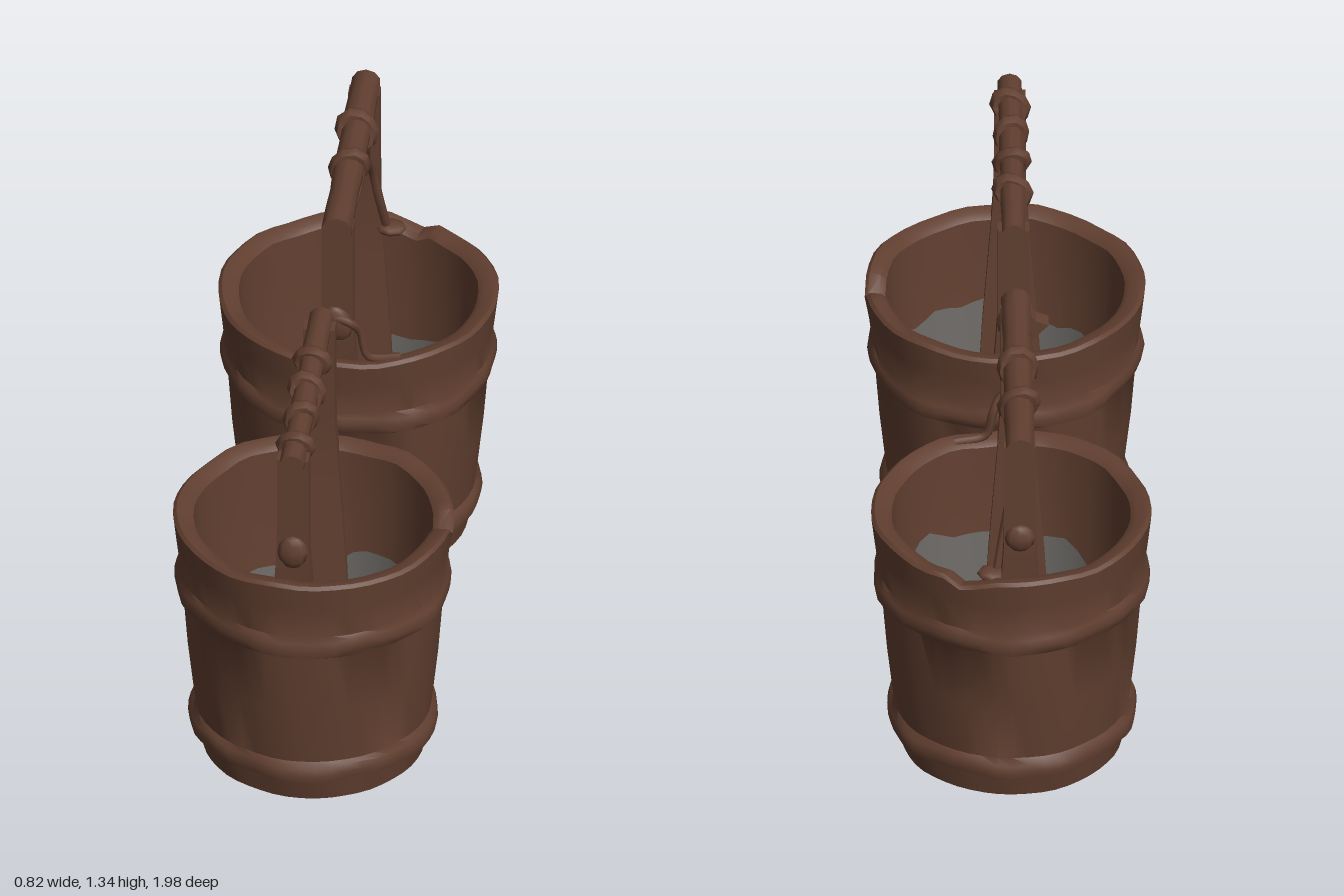
import * as THREE from 'three';
import { toCreasedNormals } from 'three/addons/utils/BufferGeometryUtils.js';

const wood = new THREE.MeshStandardMaterial({ color: 0x613f30 });
wood.name = 'brown wood';
const lining = new THREE.MeshStandardMaterial({ color: 0x6b6864, side: THREE.DoubleSide });
lining.name = 'grey lining';

const HANDLE_X = -0.02;

function add(parent, name, geometry, material = wood) {
  const mesh = new THREE.Mesh(geometry, material);
  mesh.name = name;
  parent.add(mesh);
  return mesh;
}

// Move every vertex of a geometry by a rule, then keep only the sharp edges
function deform(geometry, rule, crease = 0.7) {
  const p = geometry.attributes.position, v = new THREE.Vector3();
  for (let i = 0; i < p.count; i++) {
    v.fromBufferAttribute(p, i);
    rule(v);
    p.setXYZ(i, v.x, v.y, v.z);
  }
  return toCreasedNormals(geometry, crease);
}

const lathe = (profile, segments) =>
  new THREE.LatheGeometry(profile.map(([r, y]) => new THREE.Vector2(r, y)), segments);

// Hand-hewn waviness, periodic around the bucket
const wave = (a, s) => 0.5 * Math.sin(5 * a + s) + 0.3 * Math.sin(9 * a + 2 * s) + 0.2 * Math.sin(14 * a - s);

// Closed shell: underside, hooped outside, rim, inside wall and floor
function bucketShell(seed, notchAngle) {
  const profile = [
    [0, 0.012], [0.285, 0.01], [0.322, 0.035], [0.335, 0.1], [0.357, 0.115], [0.363, 0.14], [0.357, 0.162],
    [0.344, 0.178], [0.365, 0.37], [0.38, 0.565], [0.397, 0.58], [0.402, 0.605], [0.397, 0.628],
    [0.388, 0.645], [0.399, 0.74], [0.408, 0.82], [0.398, 0.829], [0.365, 0.825], [0.348, 0.81], [0.342, 0.7],
    [0.33, 0.55], [0.275, 0.12], [0, 0.12],
  ];
  return deform(lathe(profile, 48), v => {
    const r = Math.hypot(v.x, v.z);
    if (r < 0.1) return;
    const a = Math.atan2(v.x, v.z), y = v.y;
    const hoop = (y > 0.1 && y < 0.17) || (y > 0.57 && y < 0.64);
    const k = 1 + wave(a, seed + y * 2) * (hoop ? 0.02 : 0.009) / (r + 0.6);
    v.x *= k;
    v.z *= k;
    if (hoop) v.y += 0.009 * wave(a, seed + 4);
    if (y > 0.8) {
      v.y += 0.007 * wave(a, seed + 1);
      const d = Math.abs(Math.atan2(Math.sin(a - notchAngle), Math.cos(a - notchAngle)));
      if (d < 0.1) v.y -= 0.04 * (1 - d / 0.13);
    }
  });
}

// Grey band covering the lower inside wall, with a ragged upper edge
function bucketLining(seed) {
  return deform(lathe([[0.327, 0.55], [0.299, 0.33], [0.272, 0.122]], 48), v => {
    if (v.y < 0.5) return;
    const a = Math.atan2(v.x, v.z);
    const drop = 0.06 - 0.06 * Math.cos(a - 0.9) - 0.03 * wave(a, seed);
    const k = (0.327 - drop * 0.128) / 0.327;
    v.set(v.x * k, v.y - drop, v.z * k);
  });
}

// Plank that stands inside the wall and widens below the rim; side is +1 front, -1 back
function post(top, side, offset) {
  const g = new THREE.BoxGeometry(1, 1, 0.05, 1, 10, 1);
  return deform(g, v => {
    const y = 0.13 + (v.y + 0.5) * (top - 0.13);
    const below = Math.max(0, 0.82 - y);
    const width = 0.092 + Math.min(0.07, below * 0.16) + (y > 0.82 ? Math.max(0, 0.95 - y) * 0.12 : 0.016);
    v.set(HANDLE_X + v.x * width, y, v.z + side * (offset - below * 0.095));
  }, 0.5);
}

// Slightly crooked round bar along z
function bar(y, radius, z0, z1) {
  const g = new THREE.CylinderGeometry(radius, radius, z1 - z0, 10, 8);
  g.rotateX(Math.PI / 2);
  return deform(g, v => {
    const k = 1 + 0.05 * Math.sin(v.z * 23);
    v.set(HANDLE_X + v.x * k, y + v.y * k, v.z + (z0 + z1) / 2);
  });
}

// Lumpy binding wrapped round the bar
function binding(y, z, radius, seed) {
  return deform(new THREE.TorusGeometry(radius, 0.02, 6, 10), v => {
    const a = Math.atan2(v.y, v.x), k = 1 + 0.08 * Math.sin(2 * a + seed);
    v.set(HANDLE_X + v.x * k, y + v.y * k, z + v.z * 1.25 + 0.012 * Math.sin(a + seed));
  }, 0.9);
}

function rope(points, radius = 0.011) {
  const curve = new THREE.CatmullRomCurve3(points.map(p => new THREE.Vector3(...p)));
  return new THREE.TubeGeometry(curve, 20, radius, 6);
}

function knot(parent, name, x, y, z, sx, sy, sz, tilt = 0) {
  const mesh = add(parent, name, toCreasedNormals(new THREE.SphereGeometry(1, 8, 6), 0.9));
  mesh.position.set(x, y, z);
  mesh.scale.set(sx, sy, sz);
  mesh.rotation.z = tilt;
}

// All z values here are relative to the bucket's own centre
function bucket({ name, z, seed, notch, barY, barRadius, barEnds, postOffsets, bindings }) {
  const g = new THREE.Group();
  g.name = name;
  g.position.z = z;
  add(g, 'bucketShell', bucketShell(seed, notch));
  add(g, 'innerLining', bucketLining(seed), lining);
  add(g, 'frontPost', post(barY, 1, postOffsets[0]));
  add(g, 'backPost', post(barY, -1, postOffsets[1]));
  add(g, 'handleBar', bar(barY, barRadius, ...barEnds));
  bindings.forEach((b, i) => add(g, 'handleBinding', binding(barY, b, barRadius + 0.002, seed + i * 2)));
  return g;
}

export function createModel() {
  const model = new THREE.Group();
  model.name = 'twoBuckets';

  // Front bucket with a tightly bound handle
  const front = bucket({
    name: 'frontBucket', z: 0.58, seed: 1, notch: Math.PI / 2, barY: 1.25, barRadius: 0.036,
    barEnds: [-0.38, 0.4], postOffsets: [0.345, 0.335], bindings: [-0.15, 0, 0.145, 0.29],
  });
  knot(front, 'frontKnot', HANDLE_X, 0.93, 0.37, 0.045, 0.055, 0.025);
  knot(front, 'backKnot', HANDLE_X, 0.93, -0.36, 0.05, 0.06, 0.03);
  const wedge = new THREE.Shape([[-0.06, 0.86], [-0.06, 0.97], [-0.085, 0.94], [-0.122, 0.925]]
    .map(p => new THREE.Vector2(...p)));
  add(front, 'backWedge', new THREE.ExtrudeGeometry(wedge, { depth: 0.05, bevelEnabled: false }))
    .position.z = -0.37;
  model.add(front);

  // Back bucket with loose ropes hanging from its handle
  const back = bucket({
    name: 'backBucket', z: -0.58, seed: 3.4, notch: Math.PI - 0.35, barY: 1.285, barRadius: 0.044,
    barEnds: [-0.39, 0.39], postOffsets: [0.345, 0.345], bindings: [-0.14, 0.05],
  });
  add(back, 'frontHangingRope', rope([
    [0.02, 1.28, 0.06], [0.01, 1.23, 0.08], [-0.01, 1.17, 0.17], [-0.01, 1.12, 0.25], [0, 1.06, 0.345],
  ]));
  add(back, 'backHangingRope', rope([
    [0.02, 1.27, -0.14], [0.01, 1.22, -0.15], [0, 1.13, -0.22], [0.01, 1.05, -0.28],
    [0.03, 0.93, -0.3], [0.05, 0.81, -0.33],
  ], 0.013));
  add(back, 'frontPostRope', rope([
    [-0.05, 0.98, 0.375], [0.02, 0.96, 0.38], [0.045, 0.92, 0.36], [0.07, 0.835, 0.36], [0.16, 0.825, 0.34],
  ], 0.013));
  knot(back, 'frontKnot', HANDLE_X, 0.95, 0.37, 0.045, 0.06, 0.022, 0.3);
  knot(back, 'backKnot', HANDLE_X, 0.97, -0.37, 0.045, 0.045, 0.025);
  knot(back, 'ropeEnd', 0.06, 0.82, -0.33, 0.045, 0.018, 0.04);
  model.add(back);

  return model;
}
